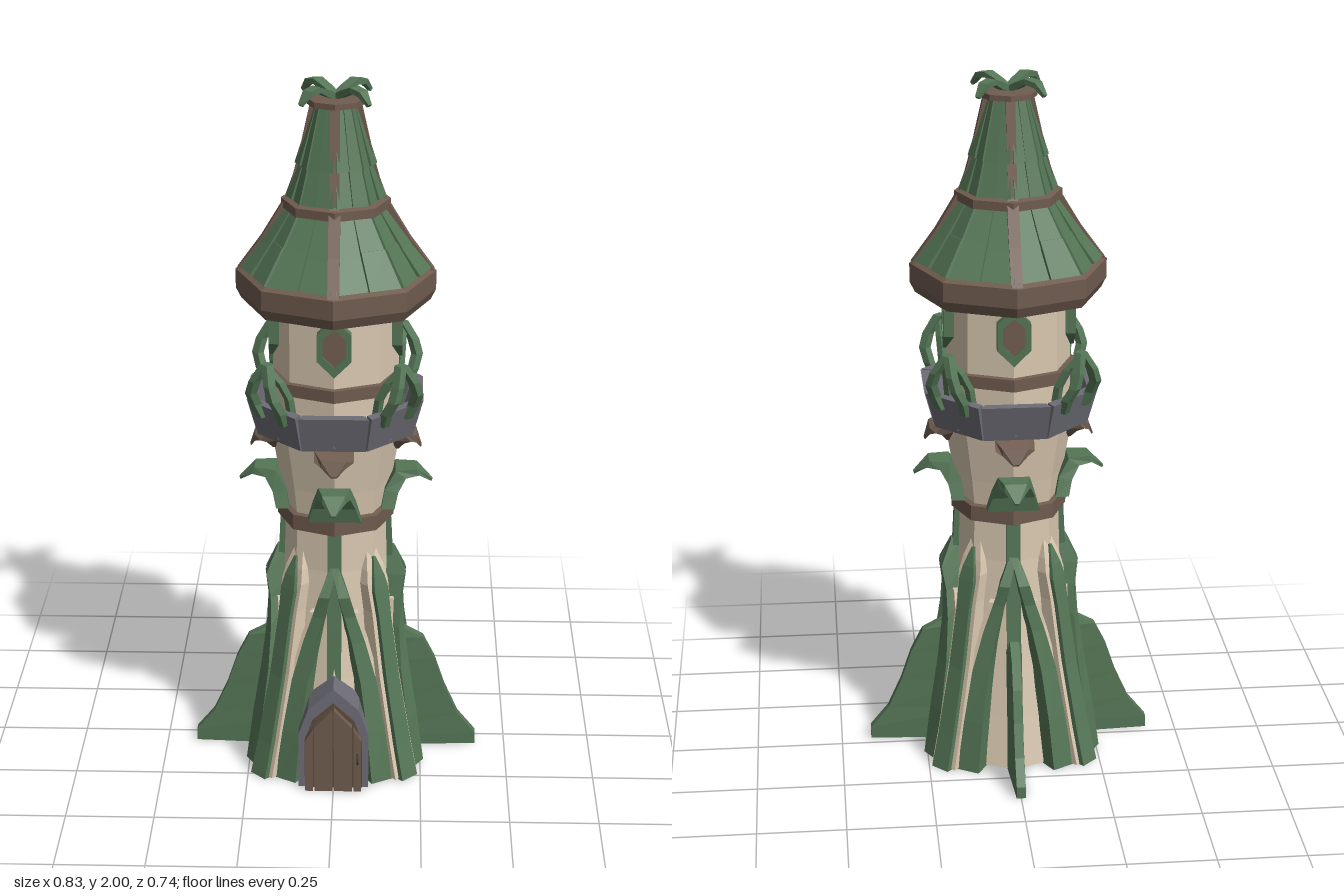
import * as THREE from 'three';

const mat = (name, color) => Object.assign(new THREE.MeshStandardMaterial({ color }), { name });
const green = mat('leaf green', 0x557656);
const cream = mat('cream plaster', 0xd9c8b0);
const brown = mat('brown timber', 0x705c4f);
const grey = mat('grey stone', 0x6e6d77);
const doorBrown = mat('dark door timber', 0x5e4b3e);
const iron = mat('dark iron', 0x38383a);

const DEG = Math.PI / 180;
const AXES = [0, 90, 180, 270];
const DIAGONALS = [45, 135, 225, 315];

export function createModel() {
  const tower = new THREE.Group();
  tower.name = 'tower';

  const add = (name, geometry, material) => {
    const flat = geometry.index ? geometry.toNonIndexed() : geometry;
    flat.computeVertexNormals();
    const mesh = new THREE.Mesh(flat, material);
    mesh.name = name;
    tower.add(mesh);
    return mesh;
  };

  // Four-cornered sweep running up the tower. Each section is
  // [angle, outer r, outer y, inner r, inner y, half width, side shift, inner half width]
  const strip = (name, material, sections) => {
    const loops = sections.map(([ang, ro, yo, ri, yi, hw, shift = 0, hi = hw]) => {
      const s = Math.sin(ang * DEG), c = Math.cos(ang * DEG);
      const at = (r, y, t) => [s * r + c * t, y, c * r - s * t];
      return [at(ro, yo, shift - hw), at(ro, yo, shift + hw), at(ri, yi, shift + hi), at(ri, yi, shift - hi)];
    });
    const pos = [];
    const quad = (a, b, c, d) => pos.push(...a, ...b, ...c, ...a, ...c, ...d);
    for (let i = 0; i < loops.length - 1; i++) {
      const L = loops[i], U = loops[i + 1];
      for (let j = 0; j < 4; j++) {
        const k = (j + 1) % 4;
        quad(L[j], L[k], U[k], U[j]);
      }
    }
    const top = loops[loops.length - 1], b = loops[0];
    quad(top[0], top[1], top[2], top[3]);
    quad(b[3], b[2], b[1], b[0]);
    const g = new THREE.BufferGeometry();
    g.setAttribute('position', new THREE.Float32BufferAttribute(pos, 3));
    return add(name, g, material);
  };

  // Eight-sided turned part, profile given from bottom to top as [r, y]
  const turned = (name, material, profile) =>
    add(name, new THREE.LatheGeometry(profile.map(p => new THREE.Vector2(...p)), 8), material);

  const plate = (name, material, points, z, depth, hole) => {
    const shape = new THREE.Shape(points.map(p => new THREE.Vector2(...p)));
    if (hole) shape.holes.push(new THREE.Path(hole.map(p => new THREE.Vector2(...p))));
    const g = new THREE.ExtrudeGeometry(shape, { depth, bevelEnabled: false });
    g.translate(0, 0, z);
    return add(name, g, material);
  };

  // Tower shaft and its timber bands
  turned('shaft', cream, [[0, 0.004], [0.25, 0.004], [0.222, 0.15], [0.195, 0.3], [0.172, 0.45], [0.155, 0.62],
    [0.15, 0.78], [0.16, 0.86], [0.183, 1.0], [0.177, 1.1], [0.175, 1.42], [0, 1.42]]);
  turned('lowerBand', brown, [[0.14, 0.735], [0.166, 0.74], [0.166, 0.785], [0.14, 0.79]]);
  turned('upperBand', brown, [[0.16, 1.145], [0.19, 1.15], [0.19, 1.185], [0.16, 1.19]]);

  // Root buttresses
  for (const a of AXES) {
    strip('axisStrip', green, [[a, 0.195, 0.27, 0.13, 0.27, 0.02], [a, 0.18, 0.45, 0.13, 0.45, 0.02],
      [a, 0.165, 0.6, 0.13, 0.6, 0.02], [a, 0.158, 0.74, 0.13, 0.74, 0.02]]);
    if (a !== 0) {
      const fin = [[0.413, 0], [0.413, 0.035], [0.36, 0.1], [0.32, 0.19], [0.29, 0.28], [0.255, 0.35], [0.19, 0.385]];
      strip('rootFin', green, fin.map(([r, y]) => [a, r, y, 0.1, y, 0.013, 0, 0.032]));
    }
    for (const m of [-1, 1]) {
      // [y, r, angle from axis, half width]
      const rib = [[0, 0.28, 30, 0.034], [0.15, 0.256, 28.5, 0.029], [0.3, 0.226, 26, 0.025], [0.42, 0.204, 20, 0.02],
        [0.5, 0.196, 13.5, 0.017], [0.565, 0.203, 8, 0.016], [0.64, 0.168, 1, 0.01]];
      strip('archRib', green, rib.map(([y, r, d, w]) =>
        [a + m * d, r, y, y === 0 ? 0.04 : Math.min(0.14, r - 0.03), y, w]));
      strip('archRibTrim', cream, rib.slice(0, 5).map(([y, r, d, w]) =>
        [a + m * (d + 2.5), r - 0.018, y + 0.003, 0.12, y + 0.003, w + 0.006]));
    }
  }
  for (const a of DIAGONALS) {
    const spire = [[0, 0.312, 0.03], [0.1, 0.285, 0.028], [0.3, 0.238, 0.025], [0.48, 0.205, 0.023],
      [0.56, 0.19, 0.027], [0.6, 0.18, 0.02], [0.655, 0.16, 0.004]];
    strip('spireRib', green, spire.map(([y, r, w]) => [a, r, y, y === 0 ? 0.04 : 0.12, y, w]));
    strip('spireTrim', cream, spire.map(([y, r, w]) =>
      [a, r - 0.016, y * 1.03 + 0.003, 0.11, y * 1.03 + 0.003, w + 0.013]));
  }

  // Curling leaves above the band, and timber brackets under the balcony
  for (const a of AXES) {
    strip('curledLeaf', green, [[a, 0.168, 0.785, 0.13, 0.785, 0.075], [a, 0.178, 0.83, 0.14, 0.84, 0.06],
      [a, 0.2, 0.868, 0.17, 0.89, 0.045], [a, 0.238, 0.872, 0.23, 0.892, 0.032], [a, 0.272, 0.845, 0.275, 0.852, 0.006]]);
    strip('bracket', brown, [[a, 0.178, 0.945, 0.14, 0.945, 0.008], [a, 0.193, 0.975, 0.15, 0.985, 0.045],
      [a, 0.212, 0.985, 0.19, 1.01, 0.055], [a, 0.228, 0.975, 0.228, 0.995, 0.035], [a, 0.24, 0.95, 0.243, 0.955, 0.008]]);
  }

  // Balcony: floor, leaning stone panels and leaf arches at the corners
  turned('balconyFloor', grey, [[0.16, 1.005], [0.222, 1.03], [0.222, 1.05], [0.16, 1.05]]);
  for (let k = 0; k < 8; k++) {
    strip('balconyPanel', grey, [[k * 45, 0.217, 1.02, 0.185, 1.02, 0.088, 0, 0.076],
      [k * 45, 0.245, 1.125, 0.215, 1.125, 0.097, 0, 0.086]]);
  }
  for (const a of DIAGONALS) for (const m of [-1, 1]) {
    const leg = [[0.25, 1.09, 0.045], [0.268, 1.13, 0.052], [0.29, 1.17, 0.046], [0.29, 1.21, 0.03], [0.272, 1.262, 0.003]];
    strip('leafArch', green, leg.map(([r, y, s]) => [a, r, y, r - 0.026, y, 0.011, m * s]));
    const inner = [[0.215, 1.1, 0.042], [0.225, 1.16, 0.04], [0.245, 1.21, 0.025], [0.27, 1.25, 0.003]];
    strip('innerLeafArch', green, inner.map(([r, y, s]) => [a, r, y, r - 0.02, y, 0.009, m * s]));
  }

  // Pointed windows on four sides
  const lozenge = f => [[0, 1.308 + 0.085 * f], [-0.047 * f, 1.308 + 0.038 * f], [-0.047 * f, 1.308 - 0.038 * f],
    [0, 1.308 - 0.085 * f], [0.047 * f, 1.308 - 0.038 * f], [0.047 * f, 1.308 + 0.038 * f]];
  for (const a of AXES) {
    plate('windowFrame', green, lozenge(1), 0.145, 0.041, lozenge(0.66)).rotation.y = a * DEG;
    plate('windowPane', brown, lozenge(0.7), 0.145, 0.034).rotation.y = a * DEG;
  }

  // Door: stone surround, planks and ring handle
  const arch = (w, spring, peak) => [[-w, 0], [w, 0], [w, spring], [w * 0.72, spring + (peak - spring) * 0.55],
    [0, peak], [-w * 0.72, spring + (peak - spring) * 0.55], [-w, spring]];
  plate('doorSurround', grey, arch(0.1, 0.17, 0.315), 0.15, 0.127);
  plate('doorBacking', doorBrown, arch(0.082, 0.15, 0.272), 0.275, 0.006);
  const plankTop = x => 0.262 - 0.1 * Math.pow(Math.abs(x) / 0.08, 1.4);
  for (const [x0, x1] of [[-0.08, -0.058], [-0.054, -0.002], [0.002, 0.054], [0.058, 0.08]]) {
    plate('doorPlank', brown, [[x0, 0], [x1, 0], [x1, plankTop(x1)], [x0, plankTop(x0)]], 0.277, 0.025);
  }
  const ring = add('doorHandle', new THREE.TorusGeometry(0.014, 0.003, 5, 10), iron);
  ring.position.set(0.07, 0.11, 0.311);
  ring.rotation.y = Math.PI / 2;

  // Roof: eaves, core, rings, tiles and hip beams
  turned('eaves', brown, [[0.165, 1.4], [0.262, 1.39], [0.277, 1.42], [0.277, 1.475], [0.26, 1.483], [0.2, 1.483]]);
  turned('roofCore', green, [[0.258, 1.475], [0.19, 1.565], [0.13, 1.665], [0.122, 1.68], [0.09, 1.79], [0.055, 1.95]]);
  turned('middleRing', brown, [[0.12, 1.65], [0.15, 1.655], [0.15, 1.68], [0.12, 1.688]]);
  turned('topRing', brown, [[0.045, 1.935], [0.08, 1.942], [0.08, 1.958], [0, 1.962]]);
  const tiers = [[0.26, 1.482, 0.194, 1.575], [0.203, 1.555, 0.135, 1.66], [0.13, 1.683, 0.094, 1.8], [0.104, 1.775, 0.058, 1.94]];
  for (const [r0, y0, r1, y1] of tiers) for (let k = 0; k < 8; k++) for (const m of [-1, 1]) {
    const lift = (k + (m > 0 ? 1 : 0)) % 2 ? 0.004 : 0.009;
    const tile = (r, y, up) => {
      const p = r * Math.cos(22.5 * DEG);
      return [k * 45 + 22.5, p + up, y + up * 0.5, p - 0.012, y, p * 0.19, m * p * 0.207];
    };
    strip('roofTile', green, [tile(r0, y0, lift), tile(r1, y1, 0.003)]);
  }
  for (const a of AXES) {
    const beam = [[0.272, 1.478], [0.205, 1.57], [0.145, 1.67], [0.132, 1.69], [0.104, 1.79], [0.068, 1.95]];
    strip('hipBeam', brown, beam.map(([r, y], i) => [a, r, y, r - 0.035, y, i < 3 ? 0.016 : 0.013]));
  }

  // Curling leaves on the peak
  for (const a of DIAGONALS) {
    strip('peakLeaf', green, [[a, 0.0, 1.95, 0.0, 1.968, 0.014], [a, 0.04, 1.968, 0.03, 1.984, 0.015],
      [a, 0.07, 1.985, 0.07, 2.0, 0.017], [a, 0.1, 1.98, 0.106, 1.994, 0.015], [a, 0.125, 1.955, 0.132, 1.962, 0.006]]);
  }

  tower.position.z = 0.0425;
  const model = new THREE.Group();
  model.name = 'leafTower';
  model.add(tower);
  return model;
}
